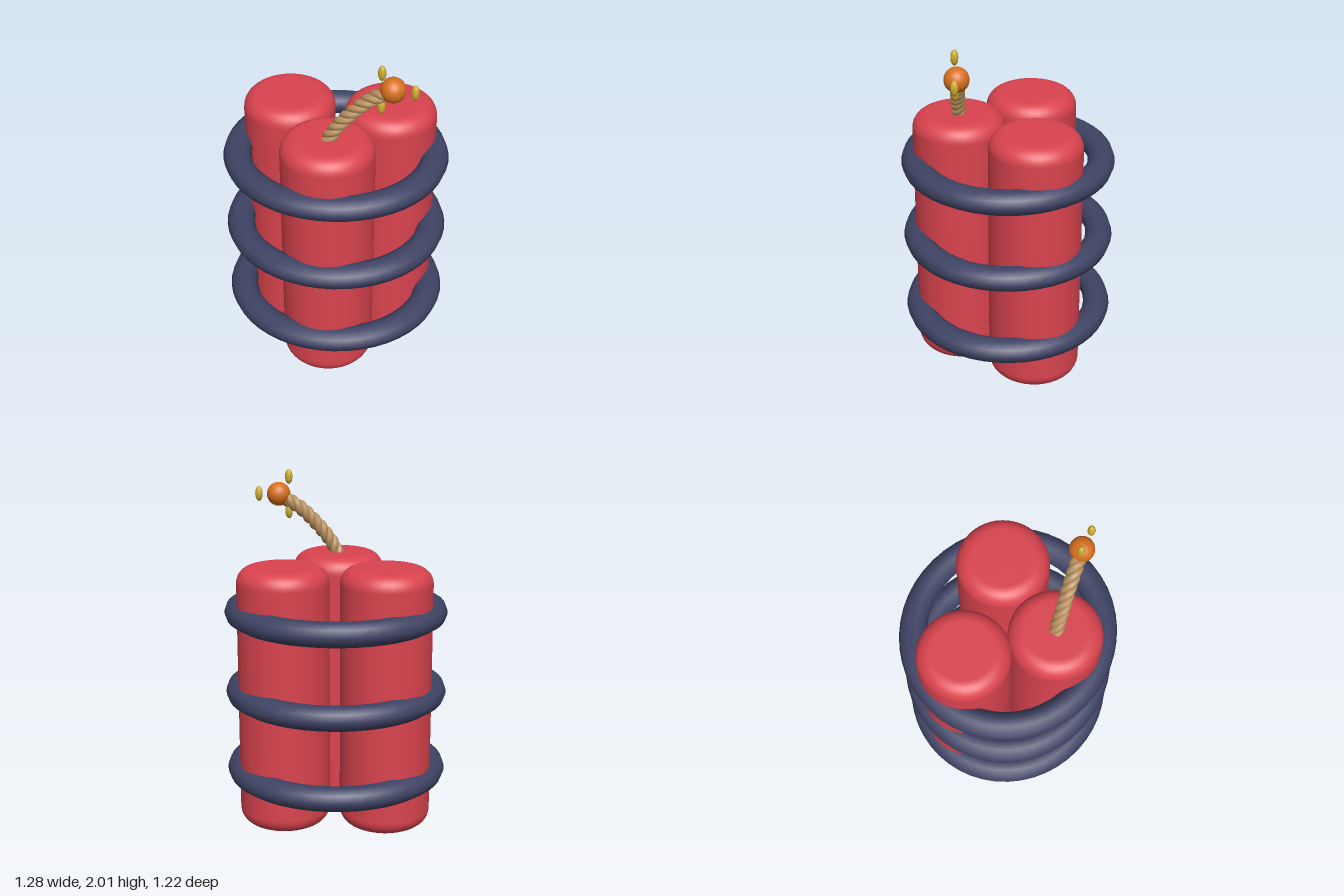
import * as THREE from 'three';

const material = (name, color) => {
  const m = new THREE.MeshStandardMaterial({ color });
  m.name = name;
  return m;
};

export function createModel() {
  const red = material('red casing', 0xd9434e);
  const navy = material('navy band', 0x3f4465);
  const tan = material('tan rope', 0xb8915f);
  const orange = material('orange ember', 0xd8701e);
  const yellow = material('yellow spark', 0xcfae30);

  const model = new THREE.Group();
  model.name = 'stickBundle';
  const add = (name, geometry, mat, x, y, z, parent = model) => {
    const mesh = new THREE.Mesh(geometry, mat);
    mesh.name = name;
    mesh.position.set(x, y, z);
    parent.add(mesh);
    return mesh;
  };

  // Three sticks with rounded rims
  const radius = 0.262, height = 1.525, bevel = 0.09;
  const profile = [new THREE.Vector2(0, 0)];
  const arc = (cy, from) => {
    for (let i = 0; i <= 8; i++) {
      const a = from + (i / 8) * Math.PI / 2;
      profile.push(new THREE.Vector2(radius - bevel + bevel * Math.cos(a), cy + bevel * Math.sin(a)));
    }
  };
  arc(bevel, -Math.PI / 2);
  arc(height - bevel, 0);
  profile.push(new THREE.Vector2(0, height));
  const stickGeometry = new THREE.LatheGeometry(profile, 48);
  add('frontStick', stickGeometry, red, 0, 0, 0.277);
  add('backLeftStick', stickGeometry, red, 0.291, 0, -0.145);
  add('backRightStick', stickGeometry, red, -0.291, 0, -0.145);

  // Slightly oval bands around the sticks
  const bandGeometry = new THREE.TorusGeometry(0.56, 0.081, 10, 48);
  bandGeometry.rotateX(Math.PI / 2).scale(1, 0.875, 0.95);
  ['lowerBand', 'middleBand', 'upperBand'].forEach((name, i) =>
    add(name, bandGeometry, navy, 0, 0.292 + i * 0.475, 0));

  // Fuse: three strands twisted around a curved path
  const fuse = new THREE.Group();
  fuse.name = 'fuse';
  fuse.position.z = 0.278;
  model.add(fuse);
  const path = new THREE.CatmullRomCurve3([
    [-0.01, 1.49], [0.045, 1.59], [0.13, 1.695], [0.225, 1.785], [0.34, 1.855],
  ].map(([x, y]) => new THREE.Vector3(x, y, 0)));
  const turns = 3.2, offset = 0.021;
  for (let s = 0; s < 3; s++) {
    const points = [];
    for (let i = 0; i <= 60; i++) {
      const t = i / 60;
      const a = Math.PI * 2 * (t * turns + s / 3);
      const p = path.getPointAt(t), d = path.getTangentAt(t);
      const side = Math.cos(a) * offset;
      points.push(new THREE.Vector3(p.x - d.y * side, p.y + d.x * side, Math.sin(a) * offset));
    }
    const strand = new THREE.TubeGeometry(new THREE.CatmullRomCurve3(points), 100, 0.0215, 8);
    add('fuseStrand', strand, tan, 0, 0, 0, fuse);
  }

  // Glowing tip with three sparks around it
  add('ember', new THREE.SphereGeometry(0.069, 24, 16), orange, 0.348, 1.862, 0, fuse);
  const sparkGeometry = new THREE.SphereGeometry(0.022, 10, 10).scale(1, 2, 1);
  for (let i = 0; i < 3; i++) {
    const a = (i / 3) * Math.PI * 2;
    add('spark', sparkGeometry, yellow,
      0.348 + 0.117 * Math.cos(a), 1.862 + 0.117 * Math.sin(a), 0.01, fuse);
  }

  return model;
}
